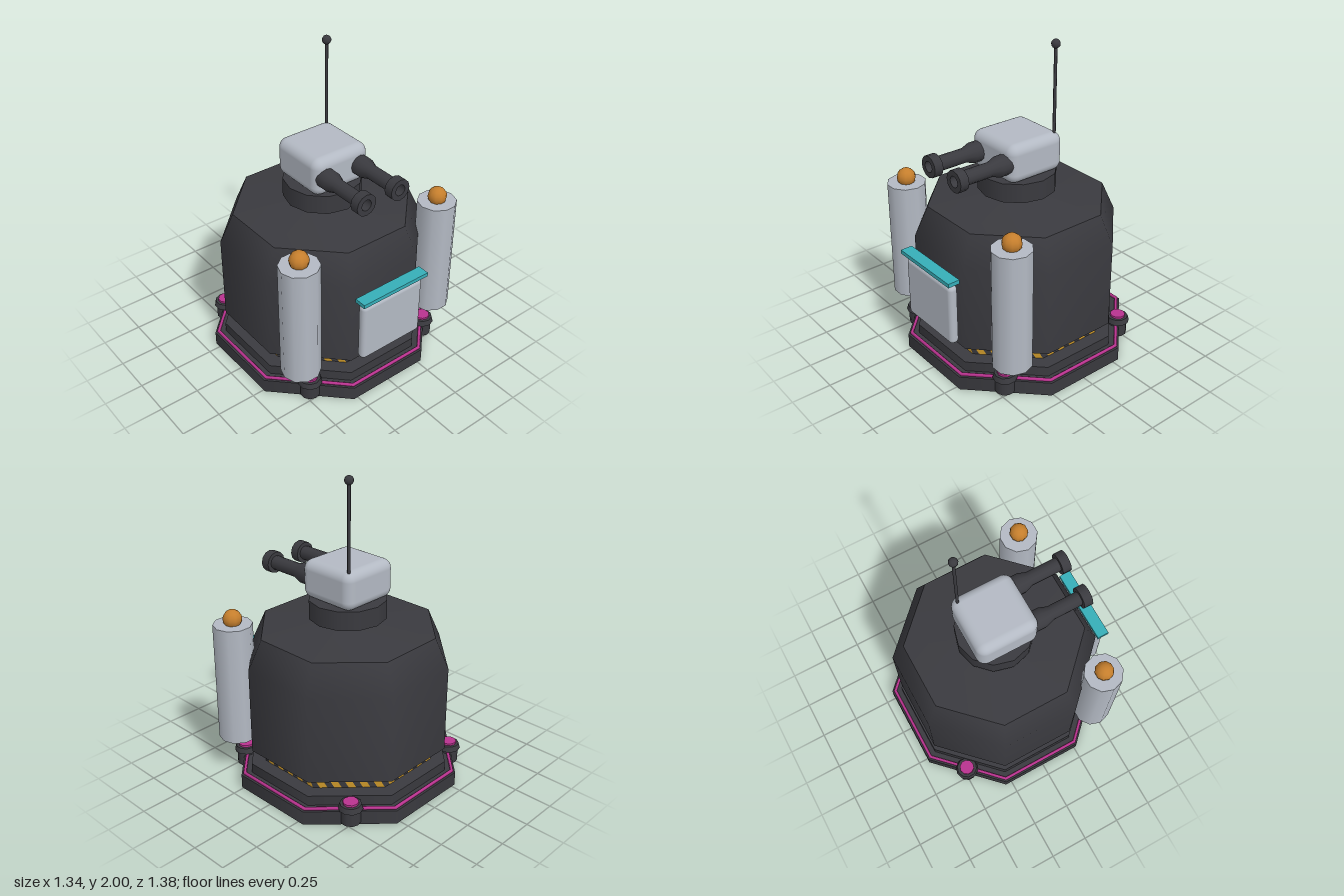
import * as THREE from 'three';
import { mergeGeometries } from 'three/addons/utils/BufferGeometryUtils.js';
import { RoundedBoxGeometry } from 'three/addons/geometries/RoundedBoxGeometry.js';

const CZ = -0.015; // centre of the tower in z
const K = 1 / Math.cos(Math.PI / 8); // octagon: apothem to corner radius

function material(name, color, side = THREE.FrontSide) {
  const m = new THREE.MeshStandardMaterial({ color, side });
  m.name = name;
  return m;
}

export function createModel() {
  const group = new THREE.Group();
  const dark = material('charcoal', 0x3a3a3f);
  const grey = material('lightGrey', 0xb3b9c3);
  const magenta = material('magenta', 0xb9338f);
  const teal = material('teal', 0x36aeb8);
  const orange = material('orange', 0xc67f2d);
  const yellow = material('hazardYellow', 0xcc982a);

  function add(name, geometry, mat, x = 0, y = 0, z = CZ) {
    const mesh = new THREE.Mesh(geometry, mat);
    mesh.name = name;
    mesh.position.set(x, y, z);
    group.add(mesh);
    return mesh;
  }
  // Octagonal slab between two heights, flat sides to the front
  function octagon(name, apothem, y0, y1, mat) {
    const r = apothem * K;
    add(name, new THREE.CylinderGeometry(r, r, y1 - y0, 8, 1, false, Math.PI / 8), mat, 0, (y0 + y1) / 2);
  }
  // Octagonal trim ring
  function trim(name, apothem, tube, y) {
    const g = new THREE.TorusGeometry((apothem - tube) * K, tube, 8, 8);
    g.rotateZ(Math.PI / 8).rotateX(Math.PI / 2);
    add(name, g, magenta, 0, y);
  }
  const points = (list) => list.map(([r, y]) => new THREE.Vector2(r, y));

  // Stepped base
  octagon('basePlate', 0.672, 0, 0.092, dark);
  trim('baseTrim', 0.662, 0.011, 0.1);
  octagon('baseStep', 0.607, 0.092, 0.157, dark);
  octagon('hazardBand', 0.52, 0.157, 0.25, dark);
  trim('bodyTrim', 0.556, 0.012, 0.238);

  // Slanted hazard stripes on each side of the band
  const stripes = [];
  const side = 2 * 0.52 * Math.tan(Math.PI / 8);
  const count = 5;
  const pitch = side / count;
  for (let f = 0; f < 8; f++) {
    for (let i = 0; i < count; i++) {
      const x = -side / 2 + i * pitch;
      const s = new THREE.Shape(points([[x + 0.038, 0.158], [x + 0.083, 0.158], [x + 0.046, 0.226], [x + 0.001, 0.226]]));
      stripes.push(new THREE.ShapeGeometry(s).translate(0, 0, 0.523).rotateY((f * Math.PI) / 4));
    }
  }
  add('hazardStripes', mergeGeometries(stripes), yellow);

  // Main body with a bevelled shoulder, shallow roof and closed underside
  const wall = points([[0.6 * K, 0.25], [0.6 * K, 0.81], [0.52 * K, 1.0]]);
  add('bodyWall', new THREE.LatheGeometry(wall, 8, Math.PI / 8), dark);
  add('bodyRoof', new THREE.ConeGeometry(0.52 * K, 0.06, 8, 1, true, Math.PI / 8), dark, 0, 1.03);
  const floor = new THREE.CircleGeometry(0.6 * K, 8, Math.PI / 8).rotateX(Math.PI / 2);
  add('bodyFloor', floor, dark, 0, 0.25);

  // Corner feet with lit caps
  for (const sx of [-1, 1]) {
    for (const sz of [-1, 1]) {
      const x = sx * 0.465;
      const z = CZ + sz * 0.47;
      add('foot', new THREE.CylinderGeometry(0.062, 0.062, 0.1, 10), dark, x, 0.067, z);
      add('footCollar', new THREE.CylinderGeometry(0.066, 0.076, 0.035, 10), dark, x, 0.127, z);
      add('footLight', new THREE.CylinderGeometry(0.048, 0.048, 0.014, 10), magenta, x, 0.151, z);
    }
  }

  // Front columns with beacons
  for (const sx of [-1, 1]) {
    const column = new THREE.CylinderGeometry(0.123, 0.123, 0.78, 10, 1, false, Math.PI / 2);
    add('column', column, grey, sx * 0.527, 0.64, 0.45);
    add('beacon', new THREE.SphereGeometry(0.06, 10, 8), orange, sx * 0.527, 1.063, 0.45);
  }

  // Door and awning
  add('door', new RoundedBoxGeometry(0.46, 0.4, 0.062, 4, 0.028), grey, 0, 0.5, 0.639);
  add('awning', new THREE.BoxGeometry(0.495, 0.026, 0.078), teal, 0, 0.737, 0.651);

  // Turret ring and head
  add('turretRing', new THREE.CylinderGeometry(0.244, 0.244, 0.122, 12), dark, 0, 1.125);
  add('turretHead', new RoundedBoxGeometry(0.4, 0.246, 0.4, 4, 0.06), grey, 0, 1.308);

  // Hollow twin barrels; doubled points keep the muzzle edges crisp
  const barrel = points([
    [0.064, 0.15], [0.064, 0.235], [0.045, 0.29], [0.045, 0.485], [0.045, 0.485],
    [0.069, 0.485], [0.069, 0.485], [0.069, 0.543], [0.069, 0.543],
    [0.035, 0.543], [0.035, 0.543], [0.035, 0.15],
  ]);
  for (const sx of [-1, 1]) {
    const g = new THREE.LatheGeometry(barrel, 12).rotateX(Math.PI / 2);
    add('barrel', g, dark, sx * 0.125, 1.308, 0);
  }

  // Antenna
  add('antennaRod', new THREE.CylinderGeometry(0.01, 0.01, 0.57, 8), dark, 0.155, 1.69, -0.172);
  add('antennaTip', new THREE.SphereGeometry(0.028, 10, 8), dark, 0.155, 1.972, -0.172);

  return group;
}
